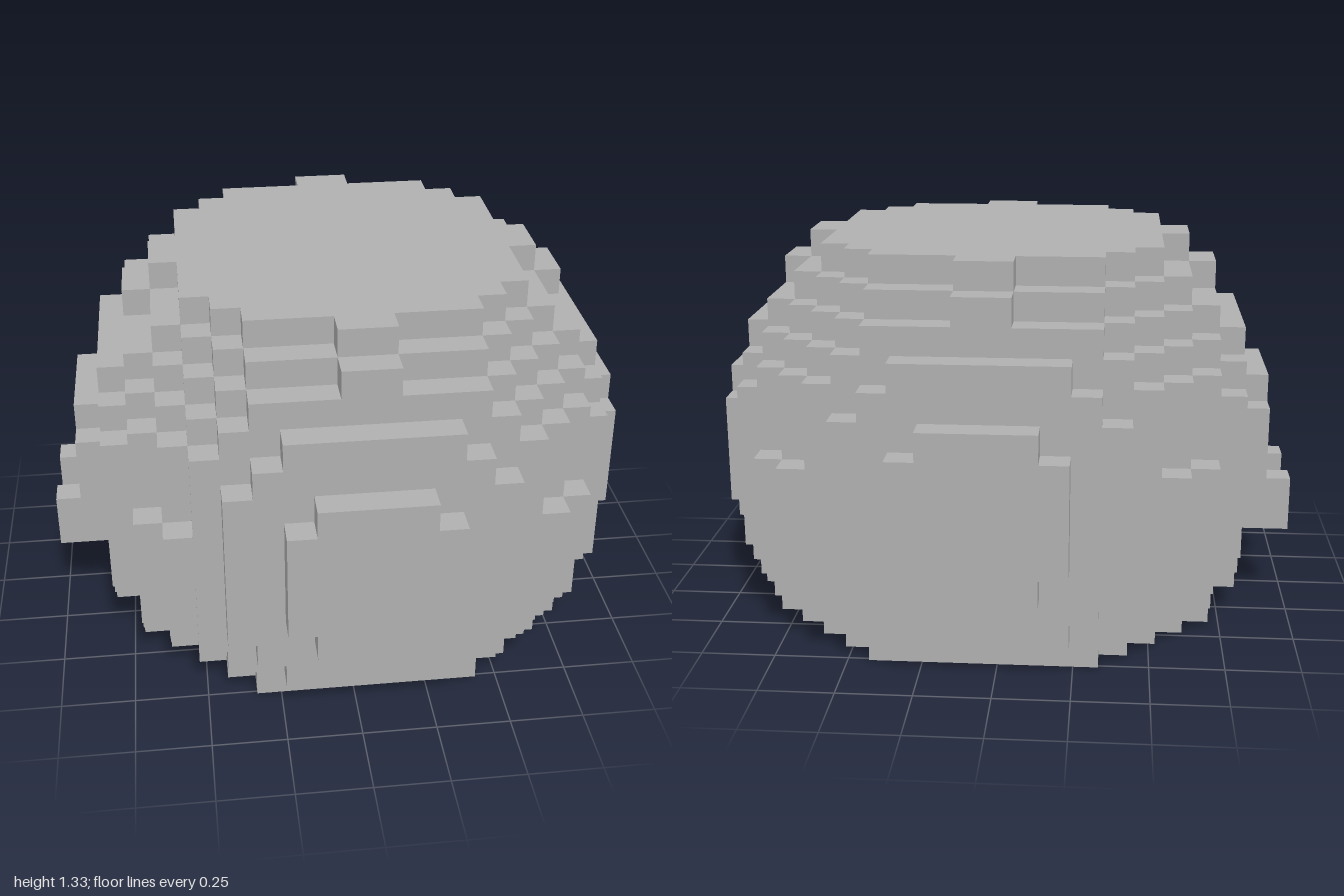
import * as THREE from 'three';
import { mergeGeometries } from 'three/addons/utils/BufferGeometryUtils.js';

const U = 2 / 21;          // edge of one block
const R = 10;              // ball radius in blocks
const BOTTOM = -6, TOP = 8; // flat cuts below and above the ball's middle

// Is the block centred on (x, y, z) part of the truncated ball?
const filled = (x, y, z) =>
  y > BOTTOM && y < TOP && x * x + y * y + z * z <= R * R;

// One square facing each of the six directions
const faces = [
  [1, 0, 0], [-1, 0, 0], [0, 1, 0], [0, -1, 0], [0, 0, 1], [0, 0, -1],
].map((d) => {
  const turn = new THREE.Quaternion().setFromUnitVectors(
    new THREE.Vector3(0, 0, 1), new THREE.Vector3(...d));
  const square = new THREE.PlaneGeometry(1, 1).translate(0, 0, 0.5).applyQuaternion(turn);
  return { d, square };
});

// Outer skin of the block ball: only squares with no neighbour in front
function blockBall() {
  const skin = [];
  for (let x = 0.5 - R; x < R; x++)
    for (let y = BOTTOM + 0.5; y < TOP; y++)
      for (let z = 0.5 - R; z < R; z++) {
        if (!filled(x, y, z)) continue;
        for (const { d, square } of faces)
          if (!filled(x + d[0], y + d[1], z + d[2]))
            skin.push(square.clone().translate(x, y, z));
      }
  return mergeGeometries(skin).scale(U, U, U);
}

export function createModel() {
  const model = new THREE.Group();
  model.name = 'blockBall';
  const grey = new THREE.MeshStandardMaterial({ color: 0xb0b0b0 });
  grey.name = 'grey';

  // Stepped ball with flat top and base, half a block off centre in x
  const body = new THREE.Mesh(blockBall(), grey);
  body.name = 'body';
  body.position.set(U / 2, -BOTTOM * U, 0);
  model.add(body);

  // Two small pegs on the -x cap
  for (const side of [-1, 1]) {
    const peg = new THREE.Mesh(new THREE.BoxGeometry(U, 2 * U, U), grey);
    peg.name = side > 0 ? 'frontPeg' : 'backPeg';
    peg.position.set(-10 * U, 4 * U, side * 1.5 * U);
    model.add(peg);
  }
  return model;
}
